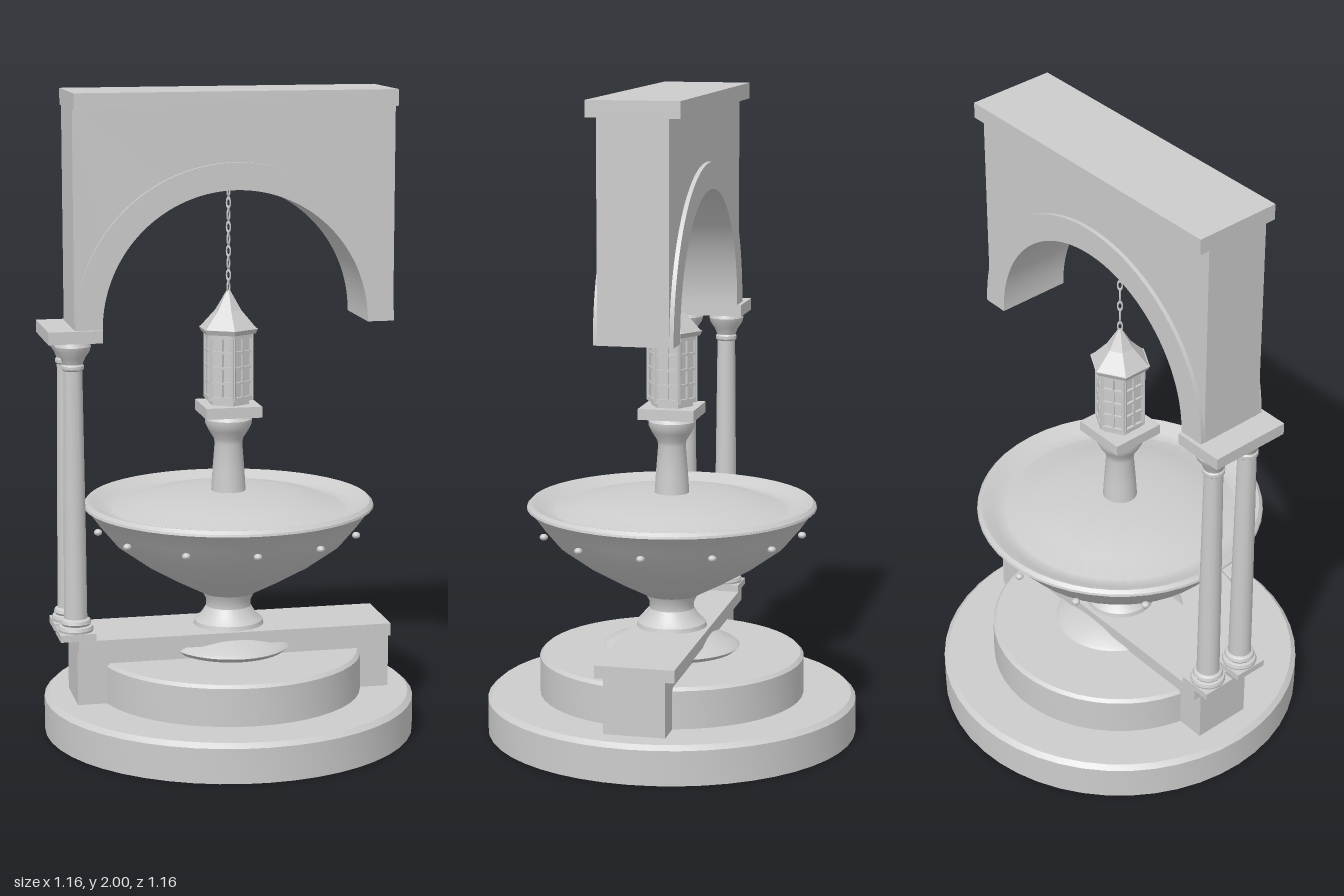
import * as THREE from 'three';
import { toCreasedNormals } from 'three/addons/utils/BufferGeometryUtils.js';

const stone = new THREE.MeshStandardMaterial({ color: 0xcccccc });
stone.name = 'pale stone';

export function createModel() {
  const model = new THREE.Group();
  model.name = 'archFountain';

  const add = (name, geometry, x = 0, y = 0, z = 0, parent = model) => {
    const mesh = new THREE.Mesh(geometry, stone);
    mesh.name = name;
    mesh.position.set(x, y, z);
    parent.add(mesh);
    return mesh;
  };
  // Box given by its centre in x and z and its bottom and top heights
  const box = (name, w, d, y0, y1, x = 0, z = 0, parent = model) =>
    add(name, new THREE.BoxGeometry(w, y1 - y0, d), x, (y0 + y1) / 2, z, parent);
  // Turned part from [radius, height] pairs, bottom to top
  const turned = (name, profile, segments = 40, parent = model, x = 0, z = 0) => {
    const points = profile.map(([r, y]) => new THREE.Vector2(r, y));
    return add(name, toCreasedNormals(new THREE.LatheGeometry(points, segments), 0.5), x, 0, z, parent);
  };

  // Round steps
  turned('lowerStep', [[0, 0], [0.58, 0], [0.58, 0.108], [0.565, 0.122], [0, 0.122]], 48);
  turned('upperStep', [[0.415, 0.12], [0.415, 0.24], [0.405, 0.25], [0, 0.25]], 48);

  // Cross beam under the arch
  box('beam', 0.99, 0.19, 0.12, 0.295);
  box('beamCap', 0.99, 0.245, 0.293, 0.332);

  // Foot, stem and bowl
  turned('foot', [[0.15, 0.25], [0.18, 0.258], [0.195, 0.272], [0.185, 0.282],
    [0.12, 0.305], [0.06, 0.318], [0, 0.322]]).scale.z = 1.1;
  turned('stem', [[0.11, 0.332], [0.107, 0.345], [0.085, 0.365], [0.07, 0.39],
    [0.07, 0.41], [0.085, 0.44]], 32);
  turned('bowl', [[0, 0.435], [0.085, 0.435], [0.17, 0.48], [0.265, 0.535], [0.355, 0.6],
    [0.405, 0.66], [0.44, 0.708], [0.452, 0.715], [0.45, 0.722], [0.44, 0.732], [0.43, 0.73],
    [0.4, 0.71], [0.365, 0.705], [0.29, 0.733], [0.2, 0.75], [0.1, 0.759], [0, 0.76]], 48);

  // Studs around the bowl
  for (let i = 0; i < 12; i++) {
    const a = (i * Math.PI) / 6;
    add('bowlStud', new THREE.SphereGeometry(0.013, 10, 8),
      0.412 * Math.sin(a), 0.643, 0.412 * Math.cos(a)).scale.y = 0.8;
  }

  // Centre pillar and its slab
  turned('pillar', [[0.055, 0.74], [0.05, 0.82], [0.043, 0.91], [0.046, 0.925],
    [0.062, 0.95], [0.072, 0.97], [0.073, 0.985], [0.06, 1.0]], 24);
  box('pillarSlab', 0.175, 0.175, 1.0, 1.034);

  // Six-sided lantern
  const lantern = new THREE.Group();
  lantern.name = 'lantern';
  model.add(lantern);
  const hexagonal = (name, r0, r1, y0, y1) => {
    const g = new THREE.CylinderGeometry(r1, r0, y1 - y0, 6).toNonIndexed();
    g.computeVertexNormals();
    return add(name, g, 0, (y0 + y1) / 2, 0, lantern);
  };
  hexagonal('lanternFoot', 0.066, 0.066, 1.03, 1.052);
  hexagonal('lanternPanes', 0.07, 0.07, 1.05, 1.255);
  hexagonal('lanternSill', 0.08, 0.08, 1.048, 1.062);
  hexagonal('lanternLintel', 0.08, 0.08, 1.243, 1.257);
  hexagonal('lanternEave', 0.088, 0.096, 1.255, 1.27);
  hexagonal('lanternLowerRoof', 0.092, 0.042, 1.27, 1.325);
  hexagonal('lanternUpperRoof', 0.042, 0.006, 1.325, 1.385);
  for (let i = 0; i < 6; i++) {
    const side = new THREE.Group();
    side.name = 'lanternSide';
    side.rotation.y = (i * Math.PI) / 3 + Math.PI / 6;
    lantern.add(side);
    box('lanternPost', 0.011, 0.011, 1.05, 1.255, 0.037, 0.0625, side);
    box('lanternPost', 0.011, 0.011, 1.05, 1.255, -0.037, 0.0625, side);
    for (const y of [1.105, 1.152, 1.2]) box('lanternBar', 0.07, 0.01, y - 0.004, y + 0.004, 0, 0.063, side);
    box('lanternMullion', 0.007, 0.01, 1.06, 1.245, 0, 0.063, side);
  }

  // Hanging chain of alternating links
  for (let i = 0; i < 9; i++) {
    const link = add('chainLink', new THREE.TorusGeometry(0.007, 0.0027, 6, 10), 0, 1.395 + i * 0.037, 0);
    link.scale.y = 2.2;
    link.rotation.y = (i % 2) * Math.PI / 2 + Math.PI / 4;
  }

  // Pair of columns on one side
  for (const z of [-0.067, 0.067]) {
    const column = new THREE.Group();
    column.name = 'column';
    column.position.set(-0.495, 0, z);
    model.add(column);
    box('columnPlinth', 0.11, 0.11, 0.332, 0.354, 0, 0, column);
    turned('columnShaft', [[0.053, 0.352], [0.055, 0.36], [0.052, 0.37], [0.043, 0.373],
      [0.048, 0.38], [0.045, 0.39], [0.036, 0.395], [0.034, 0.7], [0.029, 1.165], [0.034, 1.17],
      [0.034, 1.18], [0.03, 1.185], [0.038, 1.205], [0.052, 1.225], [0.056, 1.24], [0.05, 1.256]], 20, column);
  }
  box('columnSlab', 0.165, 0.265, 1.255, 1.293, -0.495);

  // Arch wall with a raised ring around its opening
  const spring = 1.293;
  const archShape = (outline, radius) => {
    const s = new THREE.Shape();
    outline(s);
    s.lineTo(radius, spring);
    s.absarc(0, spring, radius, 0, Math.PI, false);
    s.closePath();
    return s;
  };
  const extrude = (name, shape, depth) => {
    const g = new THREE.ExtrudeGeometry(shape, { depth, bevelEnabled: false, curveSegments: 40 });
    g.translate(0, 0, -depth / 2);
    return add(name, toCreasedNormals(g, 0.5));
  };
  extrude('archWall', archShape((s) => {
    s.moveTo(-0.495, spring);
    s.lineTo(-0.495, 1.952);
    s.lineTo(0.495, 1.952);
    s.lineTo(0.495, spring);
  }, 0.43), 0.214);
  extrude('archRing', archShape((s) => {
    s.absarc(0, spring, 0.494, Math.PI, 0, true);
  }, 0.411), 0.24);
  box('archCap', 0.99, 0.28, 1.95, 2.0);

  return model;
}
